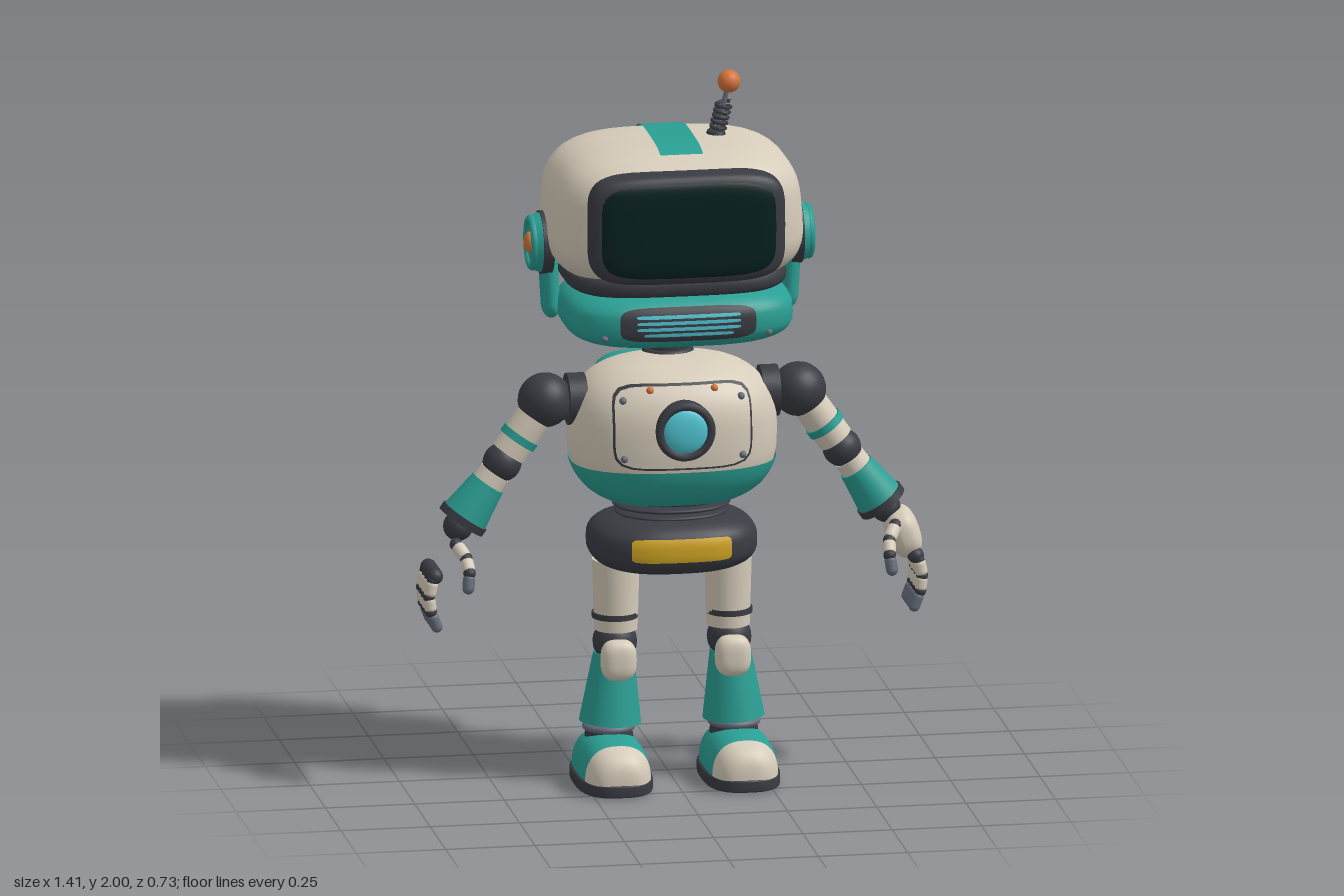
import * as THREE from 'three';

const mat = (name, color, side = THREE.FrontSide) => {
  const m = new THREE.MeshStandardMaterial({ color });
  m.name = name;
  m.side = side;
  return m;
};
const V = (x, y, z) => new THREE.Vector3(x, y, z);
const spow = (v, e) => Math.sign(v) * Math.pow(Math.abs(v), e);

// Superellipsoid with half sizes w, h, d; p rounds the plan, q the height; lo..hi keeps a slice of it
function shell(w, h, d, p, q, lo = -1, hi = 1) {
  const rows = 24, cols = 48, pos = [], idx = [];
  const f0 = Math.asin(spow(lo, q / 2)), f1 = Math.asin(spow(hi, q / 2));
  for (let i = 0; i <= rows; i++) {
    const f = f0 + (f1 - f0) * i / rows;
    const r = Math.pow(Math.max(Math.cos(f), 0), 2 / q);
    for (let j = 0; j < cols; j++) {
      const t = j / cols * Math.PI * 2;
      pos.push(w * r * spow(Math.cos(t), 2 / p), h * spow(Math.sin(f), 2 / q), d * r * spow(Math.sin(t), 2 / p));
      if (i < rows) {
        const a = i * cols + j, b = i * cols + (j + 1) % cols;
        idx.push(a, a + cols, b, b, a + cols, b + cols);
      }
    }
  }
  const g = new THREE.BufferGeometry();
  g.setAttribute('position', new THREE.Float32BufferAttribute(pos, 3));
  g.setIndex(idx);
  g.computeVertexNormals();
  return g;
}
// Move every vertex by a rule
function warp(g, rule) {
  const a = g.attributes.position, v = V(0, 0, 0);
  for (let i = 0; i < a.count; i++) {
    rule(v.fromBufferAttribute(a, i));
    a.setXYZ(i, v.x, v.y, v.z);
  }
  g.computeVertexNormals();
  return g;
}
// Front depth of a shell given as [w, h, d, p, q]
const depth = ([w, h, d, p, q], x, y) => d * Math.pow(Math.max(
  Math.pow(Math.max(1 - Math.pow(Math.abs(y / h), q), 0), p / q) - Math.pow(Math.abs(x / w), p), 0), 1 / p);
// Thin rounded plate that follows the front of a shell
const patch = (s, cx, cy, hw, hh, lift, n = 6) => warp(new THREE.RingGeometry(0.001, 1, 48, 6), v => {
  const r = Math.hypot(v.x, v.y), c = v.x / r, e = v.y / r;
  const k = r / Math.pow(Math.abs(c) ** n + Math.abs(e) ** n, 1 / n);
  v.set(cx + hw * k * c, cy + hh * k * e, 0);
  v.z = depth(s, v.x, v.y) + lift;
});
const cyl = (a, b, h) => new THREE.CylinderGeometry(a, b, h, 32);
const ball = (r, n = 20) => new THREE.SphereGeometry(r, n, n / 2);

export function createModel() {
  const M = {
    cream: mat('cream', 0xd6ccba), teal: mat('teal', 0x2a9f94, THREE.DoubleSide), charcoal: mat('charcoal', 0x3a3c43),
    screen: mat('screen black', 0x05201f), cyan: mat('cyan', 0x50c4d2), orange: mat('orange', 0xd4743a),
    yellow: mat('yellow', 0xd0a525), steel: mat('steel', 0x666c7a),
  };
  const root = new THREE.Group();
  const group = (parent, name, x = 0, y = 0, z = 0) => {
    const g = new THREE.Group();
    g.name = name;
    g.position.set(x, y, z);
    parent.add(g);
    return g;
  };
  const add = (parent, name, geo, m, p = [0, 0, 0], r = [0, 0, 0]) => {
    const o = new THREE.Mesh(geo, M[m]);
    o.name = name;
    o.position.set(...p);
    o.rotation.set(...r);
    parent.add(o);
    return o;
  };
  // Capsule from point a to point b
  const link = (parent, name, a, b, r, m) => {
    const o = add(parent, name, new THREE.CapsuleGeometry(r, a.distanceTo(b), 5, 14), m, a.clone().lerp(b, 0.5).toArray());
    o.quaternion.setFromUnitVectors(V(0, 1, 0), b.clone().sub(a).normalize());
  };

  // Head
  const HS = [0.353, 0.195, 0.275, 3.4, 3.4];
  const head = group(root, 'head', 0, 1.628, 0.06);
  add(head, 'headShell', warp(shell(...HS), v => { v.x *= 1 - 0.22 * v.y; }), 'cream');
  add(head, 'headSeam', shell(0.31, 0.05, 0.25, 3.4, 3), 'charcoal', [0, -0.175, 0]);
  add(head, 'crownStripe', warp(new THREE.PlaneGeometry(0.12, 1, 1, 48), v => {
    const t = 1.1 + (0.5 - v.y) * 2.9, e = 2 / 3.4;
    v.y = (HS[1] + 0.005) * spow(Math.sin(t), e);
    v.z = (HS[2] + 0.005) * spow(Math.cos(t), e);
  }), 'teal');
  add(head, 'screenBezel', shell(0.275, 0.156, 0.06, 4, 5), 'charcoal', [0, 0, 0.245]);
  add(head, 'screen', shell(0.255, 0.142, 0.043, 4, 5), 'screen', [0, 0, 0.265]);
  const headBack = group(head, 'headBack');
  headBack.rotation.y = Math.PI;
  for (const s of [-1, 1]) {
    for (let i = -1; i <= 1; i++) add(headBack, 'headVent', patch(HS, s * 0.15, i * 0.033 - 0.02, 0.045, 0.008, 0.004), 'charcoal');
    for (const y of [-0.11, 0.08]) add(headBack, 'headBolt', ball(0.012, 12), 'steel', [s * 0.24, y, depth(HS, 0.24, y)]);
  }

  // Jaw with speaker grille
  const JS = [0.32, 0.088, 0.235, 3.4, 3];
  const jaw = group(root, 'jaw', 0, 1.355, 0.115);
  add(jaw, 'jawShell', shell(...JS), 'teal');
  add(jaw, 'grillePlate', patch(JS, 0, 0.005, 0.19, 0.048, 0.005, 5), 'charcoal');
  for (let i = 0; i < 4; i++) add(jaw, 'grilleBar', patch(JS, 0, 0.029 - i * 0.017, 0.145 - (i === 3 ? 0.02 : 0), 0.005, 0.009), 'cyan');
  for (const s of [-1, 1]) add(jaw, 'jawBolt', ball(0.01, 12), 'steel', [s * 0.23, -0.035, depth(JS, 0.23, 0.035)]);

  // Ears with straps
  for (const s of [-1, 1]) {
    const ear = group(root, 'ear', s * 0.35, 1.53, 0.035), r = [0, 0, -s * Math.PI / 2];
    add(ear, 'earBase', cyl(0.088, 0.088, 0.03), 'charcoal', [0, 0, 0], r);
    add(ear, 'earDisc', cyl(0.074, 0.084, 0.025), 'teal', [s * 0.026, 0, 0], r);
    add(ear, 'earRing', new THREE.TorusGeometry(0.066, 0.012, 10, 32), 'teal', [s * 0.036, 0, 0], [0, Math.PI / 2, 0]);
    add(ear, 'earBolt', ball(0.03).scale(0.6, 1, 1), 'orange', [s * 0.04, 0, 0]);
    add(ear, 'earStrap', new THREE.CapsuleGeometry(0.041, 0.13, 8, 24).scale(0.65, 1, 1), 'teal', [-s * 0.013, -0.11, 0], [0, 0, -s * 0.06]);
  }

  // Spring antenna
  const coil = Array.from({ length: 85 }, (_, i) => {
    const t = i / 84, a = t * Math.PI * 12;
    return V(0.13 + 0.022 * t + 0.02 * Math.cos(a), 1.82 + 0.09 * t, 0.045 + 0.02 * Math.sin(a));
  });
  const antenna = group(root, 'antenna');
  add(antenna, 'antennaBase', cyl(0.024, 0.03, 0.02), 'charcoal', [0.128, 1.82, 0.045]);
  add(antenna, 'antennaSpring', new THREE.TubeGeometry(new THREE.CatmullRomCurve3(coil), 120, 0.006, 6), 'charcoal');
  link(antenna, 'antennaRod', V(0.13, 1.82, 0.045), V(0.163, 1.96, 0.045), 0.007, 'steel');
  add(antenna, 'antennaBall', ball(0.032), 'orange', [0.165, 1.968, 0.045]);

  // Neck
  add(root, 'neck', cyl(0.06, 0.06, 0.14), 'charcoal', [0, 1.23, 0.01]);
  for (const y of [1.2, 1.245]) add(root, 'neckRing', new THREE.TorusGeometry(0.06, 0.012, 10, 32), 'charcoal', [0, y, 0.01], [Math.PI / 2, 0, 0]);

  // Torso
  const TS = [0.29, 0.21, 0.212, 2.5, 2.7];
  const torso = group(root, 'torso', 0, 0.995, 0.07);
  add(torso, 'torsoShell', shell(...TS), 'cream');
  add(torso, 'bellyBand', shell(0.294, 0.213, 0.216, 2.5, 2.7, -0.9, -0.36), 'teal');
  add(torso, 'panelSeam', patch(TS, 0, 0.05, 0.195, 0.118, 0.003), 'charcoal');
  add(torso, 'chestPanel', patch(TS, 0, 0.05, 0.189, 0.112, 0.006), 'cream');
  for (const s of [-1, 1]) {
    for (const y of [-0.035, 0.125]) add(torso, 'panelBolt', ball(0.011, 12), 'steel', [s * 0.165, y, depth(TS, 0.165, y) + 0.004]);
    add(torso, 'panelLight', ball(0.011, 12), 'orange', [s * 0.09, 0.152, depth(TS, 0.09, 0.152) + 0.004]);
    add(torso, 'shoulderPlate', cyl(0.072, 0.072, 0.05), 'charcoal', [s * 0.27, 0.095, 0.005], [0, 0, Math.PI / 2]);
  }
  add(torso, 'coreHousing', cyl(0.08, 0.085, 0.05), 'charcoal', [0, 0.045, 0.205], [Math.PI / 2, 0, 0]);
  add(torso, 'coreRing', new THREE.TorusGeometry(0.072, 0.012, 10, 40), 'charcoal', [0, 0.045, 0.228]);
  add(torso, 'coreLens', ball(0.064, 32).scale(1, 1, 0.3), 'cyan', [0, 0.045, 0.226]);

  // Waist and pelvis
  for (let i = 0; i < 3; i++) add(root, 'waistFold', shell(0.17 - i * 0.006, 0.018, 0.14 - i * 0.005, 2.2, 2), 'charcoal', [0, 0.805 - i * 0.022, 0.06]);
  const PS = [0.235, 0.086, 0.185, 2.6, 2.8];
  const pelvis = group(root, 'pelvis', 0, 0.682, 0.067);
  add(pelvis, 'pelvisShell', shell(...PS), 'charcoal');
  add(pelvis, 'beltPlate', patch(PS, 0, 0.006, 0.14, 0.033, 0.005, 10), 'yellow');

  // Backpack with wind-up key
  const BS = [0.182, 0.143, 0.065, 4, 4];
  const pack = group(root, 'backpack', 0, 1.008, -0.18);
  pack.rotation.y = Math.PI;
  add(pack, 'packShell', shell(...BS), 'teal');
  for (let i = 0; i < 5; i++) add(pack, 'packVent', patch(BS, 0, 0.025 - i * 0.027, 0.1, 0.007, 0.004), 'charcoal');
  for (const x of [-0.14, 0.14]) for (const y of [-0.1, 0.1]) add(pack, 'packBolt', ball(0.01, 12), 'steel', [x, y, depth(BS, x, y)]);
  add(pack, 'keyShaft', cyl(0.014, 0.014, 0.1), 'steel', [0, 0.06, 0.1], [Math.PI / 2, 0, 0]);
  add(pack, 'keyHub', cyl(0.017, 0.017, 0.05), 'orange', [0, 0.06, 0.147], [0, 0, Math.PI / 2]);
  add(pack, 'keyStem', cyl(0.012, 0.012, 0.07), 'orange', [0, 0.06, 0.147]);
  for (const s of [-1, 1]) add(pack, 'keyLobe', ball(1, 24).scale(0.012, 0.05, 0.037), 'orange', [0, 0.06 + s * 0.06, 0.147]);

  for (const s of [-1, 1]) {
    // Arm, built downwards from the shoulder
    const arm = group(root, 'arm', s * 0.355, 1.09, 0.075);
    arm.rotation.z = s * 0.61;
    const ring = (name, a, b, top, h, m) => add(arm, name, cyl(a, b, h), m, [0, -top - h / 2, 0]);
    add(arm, 'shoulderBall', ball(0.076, 28), 'charcoal');
    ring('upperArm', 0.05, 0.05, 0.05, 0.13, 'cream');
    ring('upperArmBand', 0.055, 0.055, 0.115, 0.022, 'teal');
    add(arm, 'elbowBall', ball(0.054, 24), 'charcoal', [0, -0.21, 0]);
    ring('elbowCollar', 0.044, 0.046, 0.245, 0.04, 'cream');
    ring('forearm', 0.05, 0.067, 0.28, 0.115, 'teal');
    ring('cuff', 0.071, 0.071, 0.39, 0.022, 'charcoal');
    add(arm, 'forearmSlot', new THREE.CapsuleGeometry(0.012, 0.05, 6, 12), 'charcoal', [0, -0.34, -0.057], [0.14, 0, 0]);
    add(arm, 'wrist', ball(0.042), 'charcoal', [0, -0.425, 0]);

    // Hand; the right one is bare of its palm cover
    const hand = group(root, 'hand');
    if (s > 0) add(hand, 'palm', shell(0.046, 0.072, 0.077, 2.6, 2.6), 'cream', [0.645, 0.672, 0.075], [0, 0, 0.3]);
    link(hand, 'knuckleBar', V(s * 0.673, 0.615, 0.025), V(s * 0.673, 0.615, 0.13), 0.023, 'charcoal');
    const finger = (name, pts, r) => {
      for (let i = 0; i < 3; i++) {
        const a = pts[i], b = pts[i + 1];
        link(hand, name + (i < 2 ? 'Segment' : 'Tip'), a.clone().lerp(b, 0.3), a.clone().lerp(b, 0.72), r - i * 0.001, i < 2 ? 'cream' : 'steel');
        add(hand, name + 'Joint', ball(r * 0.95, 12), 'charcoal', a.toArray());
      }
    };
    for (let i = 0; i < 4; i++) {
      const z = 0.018 + i * 0.039;
      finger('finger', [V(s * 0.68, 0.605, z), V(s * 0.69, 0.558, z), V(s * 0.685, 0.515, z), V(s * 0.662, 0.455, z)], 0.018);
    }
    finger('thumb', [V(s * 0.615, 0.705, 0.135), V(s * 0.592, 0.672, 0.17), V(s * 0.588, 0.638, 0.2), V(s * 0.595, 0.582, 0.213)], 0.019);

    // Leg
    const leg = group(root, 'leg', s * 0.16, 0, 0.075);
    add(leg, 'thigh', cyl(0.066, 0.06, 0.2), 'cream', [-s * 0.003, 0.53, 0]);
    add(leg, 'thighBand', cyl(0.064, 0.064, 0.016), 'charcoal', [0, 0.472, 0]);
    add(leg, 'knee', ball(0.062, 24), 'charcoal', [0, 0.395, 0]);
    add(leg, 'kneeCap', shell(0.05, 0.058, 0.035, 2.6, 2.8), 'cream', [0, 0.355, 0.062]);
    add(leg, 'shin', cyl(0.056, 0.086, 0.195), 'teal', [s * 0.008, 0.265, -0.002], [0, 0, s * 0.05]);
    add(leg, 'calfPiston', new THREE.CapsuleGeometry(0.014, 0.08, 6, 12), 'steel', [s * 0.008, 0.285, -0.077], [0.2, 0, 0]);
    add(leg, 'ankle', cyl(0.06, 0.068, 0.06), 'charcoal', [s * 0.015, 0.15, -0.01]);
    add(leg, 'ankleRing', new THREE.TorusGeometry(0.064, 0.01, 10, 32), 'steel', [s * 0.015, 0.152, -0.01], [Math.PI / 2, 0, 0]);

    // Shoe: the shell lies along z and is flattened at the sole
    const shoe = group(root, 'shoe', s * 0.178, 0.03, 0.122);
    const upper = (k, lo, hi) => warp(shell(0.099 * k, 0.178, 0.112 * k, 2.5, 3.2, lo, hi).rotateX(Math.PI / 2), v => { v.y = Math.max(v.y, 0); });
    add(shoe, 'shoeUpper', upper(1, -1, 0.68), 'teal');
    add(shoe, 'toeCap', upper(1.01, 0.62, 1), 'cream');
    add(shoe, 'sole', shell(0.107, 0.021, 0.183, 2.8, 8), 'charcoal', [0, -0.009, 0]);
  }
  return root;
}
